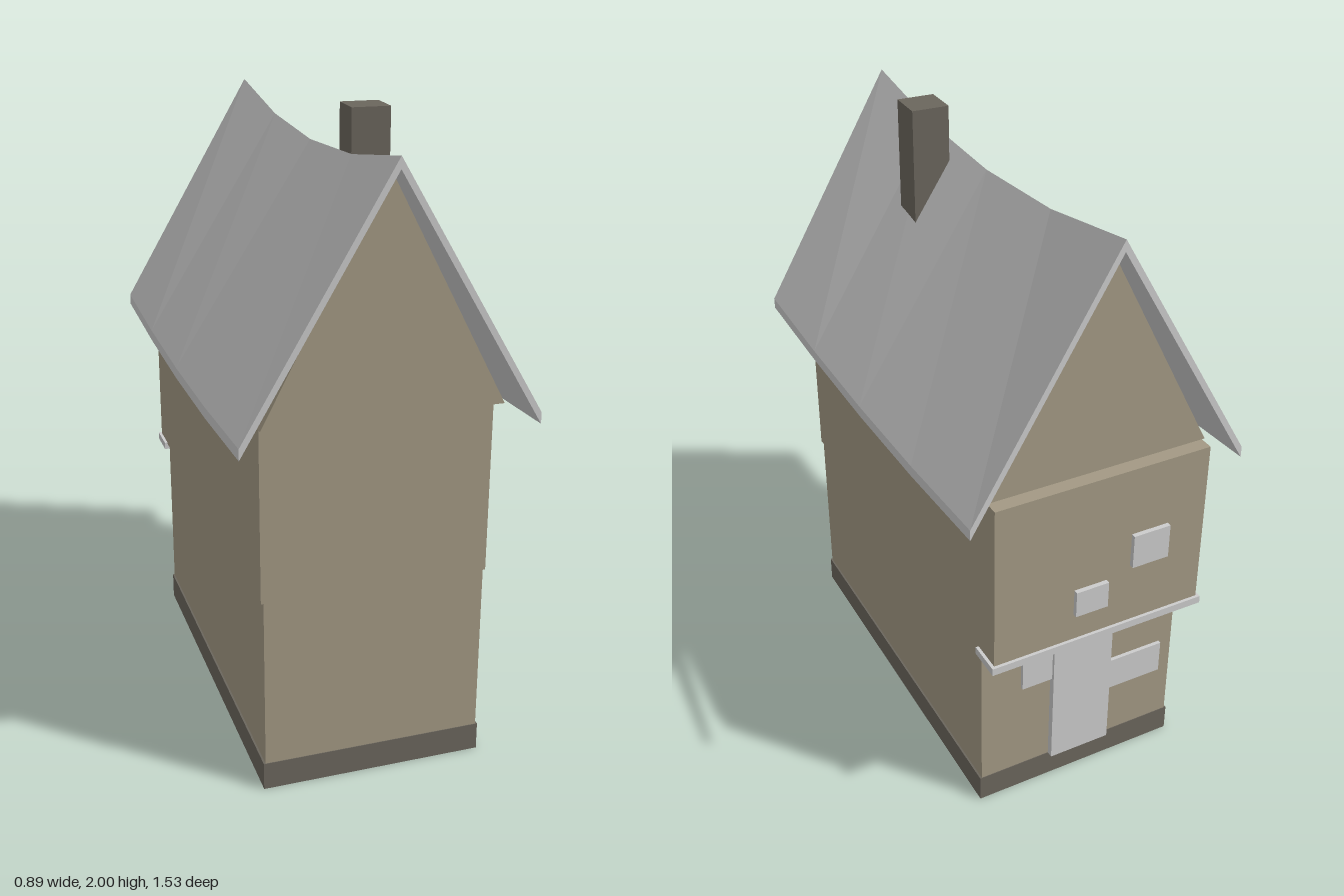
import * as THREE from 'three';

const mat = (color) => new THREE.MeshStandardMaterial({ color, flatShading: true });
const WALL = mat(0xa39984), STONE = mat(0x6b665d), GREY = mat(0xcccccc);

// Box given by its extents on each axis
function box(name, material, [x0, x1], [y0, y1], [z0, z1]) {
  const mesh = new THREE.Mesh(new THREE.BoxGeometry(x1 - x0, y1 - y0, z1 - z0), material);
  mesh.position.set((x0 + x1) / 2, (y0 + y1) / 2, (z0 + z1) / 2);
  mesh.name = name;
  return mesh;
}

// Capped loft: section(z) returns a counter-clockwise loop of [x, y]
function loft(name, material, zs, section) {
  const pos = [], idx = [];
  const n = section(0).length;
  for (const z of zs) for (const [x, y] of section(z)) pos.push(x, y, z);
  for (let k = 0; k < zs.length - 1; k++) {
    for (let i = 0; i < n; i++) {
      const a = k * n + i, b = k * n + (i + 1) % n;
      idx.push(a, b, b + n, a, b + n, a + n);
    }
  }
  const end = (zs.length - 1) * n;
  const outline = section(zs[0]).map(([x, y]) => new THREE.Vector2(x, y));
  for (const [a, b, c] of THREE.ShapeUtils.triangulateShape(outline, [])) {
    idx.push(a, c, b, end + a, end + b, end + c);
  }
  const indexed = new THREE.BufferGeometry();
  indexed.setAttribute('position', new THREE.Float32BufferAttribute(pos, 3));
  indexed.setIndex(idx);
  const geometry = indexed.toNonIndexed();
  geometry.computeVertexNormals();
  const mesh = new THREE.Mesh(geometry, material);
  mesh.name = name;
  return mesh;
}

export function createModel() {
  const house = new THREE.Group();
  house.name = 'house';

  // Storeys, with the upper one jutting out over the door
  house.add(
    box('foundation', STONE, [-0.353, 0.353], [0, 0.09], [-0.64, 0.64]),
    box('groundFloor', WALL, [-0.347, 0.347], [0.09, 0.64], [-0.638, 0.638]),
    box('upperFloor', WALL, [-0.355, 0.355], [0.64, 1.2], [-0.735, 0.638]),
    box('jettyBeam', GREY, [-0.365, 0.365], [0.62, 0.645], [-0.745, -0.635]),
  );

  // Door and windows
  house.add(
    box('door', GREY, [-0.105, 0.105], [0.09, 0.535], [-0.66, -0.63]),
    box('lowerWindowLeft', GREY, [0.04, 0.21], [0.42, 0.565], [-0.65, -0.63]),
    box('lowerWindowRight', GREY, [-0.3, -0.09], [0.29, 0.405], [-0.65, -0.63]),
    box('upperWindowLarge', GREY, [-0.225, -0.1], [0.855, 0.97], [-0.75, -0.73]),
    box('upperWindowSmall', GREY, [-0.02, 0.09], [0.74, 0.83], [-0.75, -0.73]),
  );

  // Sagging roof: ridge and eaves dip towards the middle
  const half = 0.765, thick = 0.035, eaveX = 0.445;
  const ridge = (z) => 1.86 + 0.085 * (z / half) ** 2;
  const eave = (z) => 1.162 + 0.028 * (z / half) ** 2;
  house.add(loft('roof', GREY, [-half, -half / 2, 0, half / 2, half], (z) => [
    [eaveX, eave(z) - thick], [eaveX, eave(z)], [0, ridge(z)],
    [-eaveX, eave(z)], [-eaveX, eave(z) - thick], [0, ridge(z) - thick],
  ]));

  // Attic with gable ends, following the sag below the roof
  house.add(loft('attic', WALL, [-0.69, -half / 2, 0, half / 2, 0.69], (z) => [
    [-0.365, 1.2], [0.365, 1.2], [0, ridge(z) - thick + 0.005],
  ]));

  // Slightly twisted chimney
  const chimney = box('chimney', STONE, [0.026, 0.144], [1.6, 2], [0.196, 0.314]);
  chimney.rotation.y = -0.04;
  house.add(chimney);

  return house;
}
